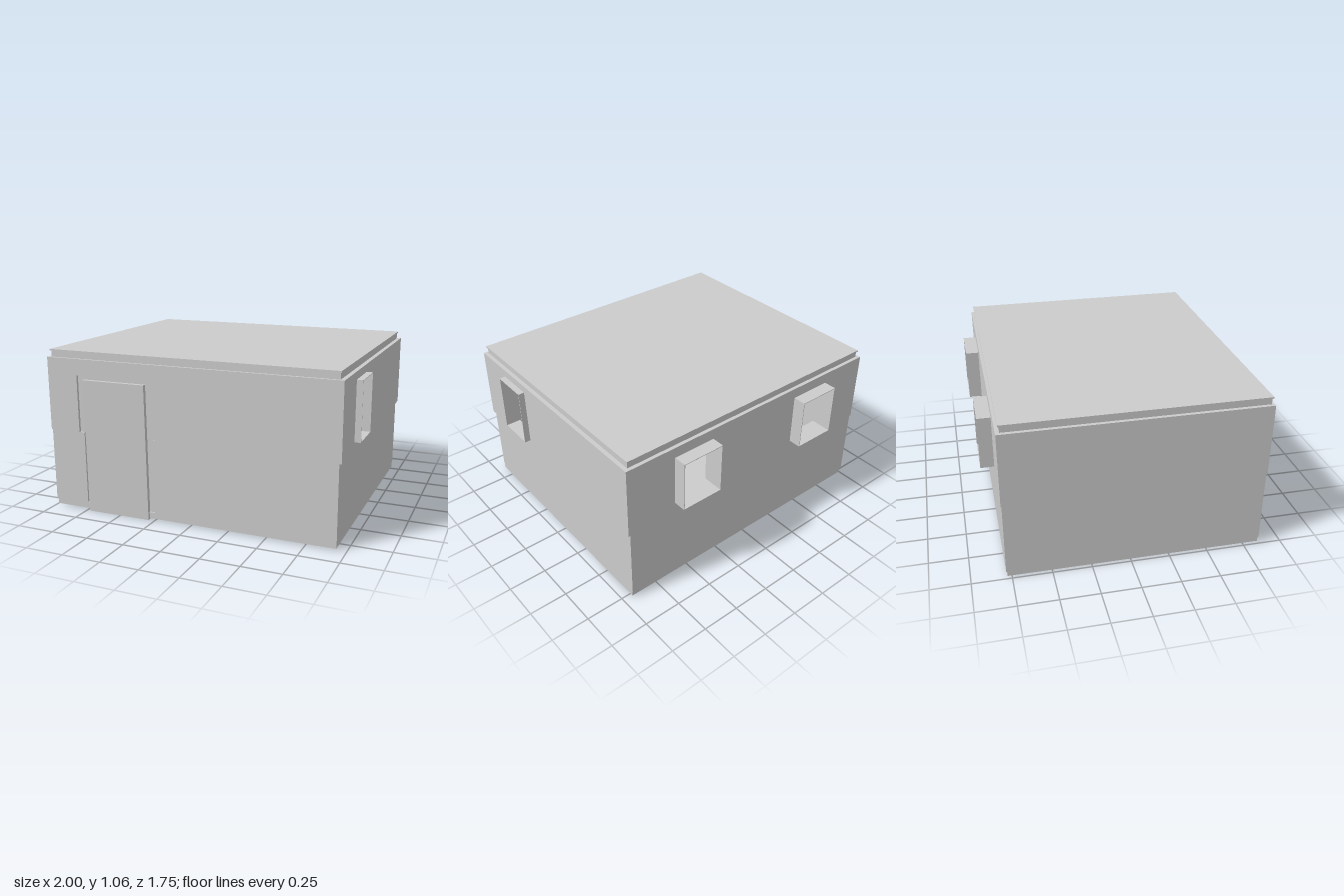
import * as THREE from 'three';

const grey = new THREE.MeshStandardMaterial({ color: 0xcccccc, side: THREE.DoubleSide, flatShading: true });

const rect = (a, b, y0, y1) => [[a, y0], [b, y0], [b, y1], [a, y1]].map(p => new THREE.Vector2(...p));

function mesh(name, geometry) {
  const m = new THREE.Mesh(geometry, grey);
  m.name = name;
  return m;
}

// Flat panel; along x it lies in the xy plane, along z in the zy plane. 'at' is its low face.
function panel(name, points, holes, t, axis, at) {
  const shape = new THREE.Shape(points);
  holes.forEach(h => shape.holes.push(new THREE.Path(rect(...h))));
  const g = new THREE.ExtrudeGeometry(shape, { depth: t, bevelEnabled: false });
  if (axis === 'z') g.rotateY(-Math.PI / 2).translate(at + t, 0, 0);
  else g.translate(0, 0, at);
  return mesh(name, g);
}

function block(name, x0, x1, y0, y1, z0, z1) {
  const g = new THREE.BoxGeometry(x1 - x0, y1 - y0, z1 - z0);
  return mesh(name, g.translate((x0 + x1) / 2, (y0 + y1) / 2, (z0 + z1) / 2));
}

// Window openings: [from, to, bottom, top]
const backWindows = [[-0.66, -0.37, 0.6, 0.94], [0.32, 0.61, 0.6, 0.94]];
const sideWindow = [0.32, 0.57, 0.58, 0.96];

// Four walls around a rectangle, with optional windows and a door notch [from, to, top]
function walls(name, [x0, x1, z0, z1], y0, y1, t, windows, door) {
  const group = new THREE.Group();
  group.name = name;
  let fronts = [rect(x0, x1, y0, y1)];
  if (door) {
    const [a, b, top] = door;
    if (top >= y1) fronts = [rect(x0, a, y0, y1), rect(b, x1, y0, y1)];
    else fronts = [[[x0, y0], [a, y0], [a, top], [b, top], [b, y0], [x1, y0], [x1, y1], [x0, y1]]
      .map(p => new THREE.Vector2(...p))];
  }
  fronts.forEach(f => group.add(panel('frontWall', f, [], t, 'x', z1 - t)));
  group.add(
    panel('backWall', rect(x0, x1, y0, y1), windows ? backWindows : [], t, 'x', z0),
    panel('leftWall', rect(z0 + t, z1 - t, y0, y1), windows ? [sideWindow] : [], t, 'z', x1 - t),
    panel('rightWall', rect(z0 + t, z1 - t, y0, y1), [], t, 'z', x0)
  );
  return group;
}

// Thin open box lining a window
function frame([a, b, y0, y1], axis, from, to) {
  const e = 0.004;
  return panel('windowFrame', rect(a, b, y0, y1), [[a + e, b - e, y0 + e, y1 - e]], to - from, axis, from);
}

export function createModel() {
  const house = new THREE.Group();
  house.name = 'house';

  // Floor, roof and structural walls
  house.add(
    block('floor', -0.985, 0.938, 0.01, 0.05, -0.778, 0.848),
    walls('innerWalls', [-0.977, 0.928, -0.767, 0.838], 0.05, 1.05, 0.03, true),
    block('roof', -0.985, 0.935, 1.05, 1.06, -0.775, 0.845)
  );

  // Outer cladding in two bands
  house.add(
    walls('lowerCladding', [-0.995, 0.94, -0.785, 0.85], 0.05, 0.53, 0.018, false, [-0.75, -0.25, 0.53]),
    walls('upperCladding', [-1, 0.955, -0.79, 0.855], 0.53, 1.01, 0.027, true, [-0.785, -0.235, 0.905])
  );

  // Window frames
  backWindows.forEach(w => house.add(frame(w, 'x', -0.875, -0.735)));
  house.add(frame(sideWindow, 'z', 0.895, 0.995));

  // Door, leaning very slightly
  const door = mesh('door', new THREE.BoxGeometry(0.437, 0.88, 0.025));
  door.position.set(-0.51, 0.442, 0.857);
  door.rotation.set(0.008, 0, 0.004);
  house.add(door);

  return house;
}
